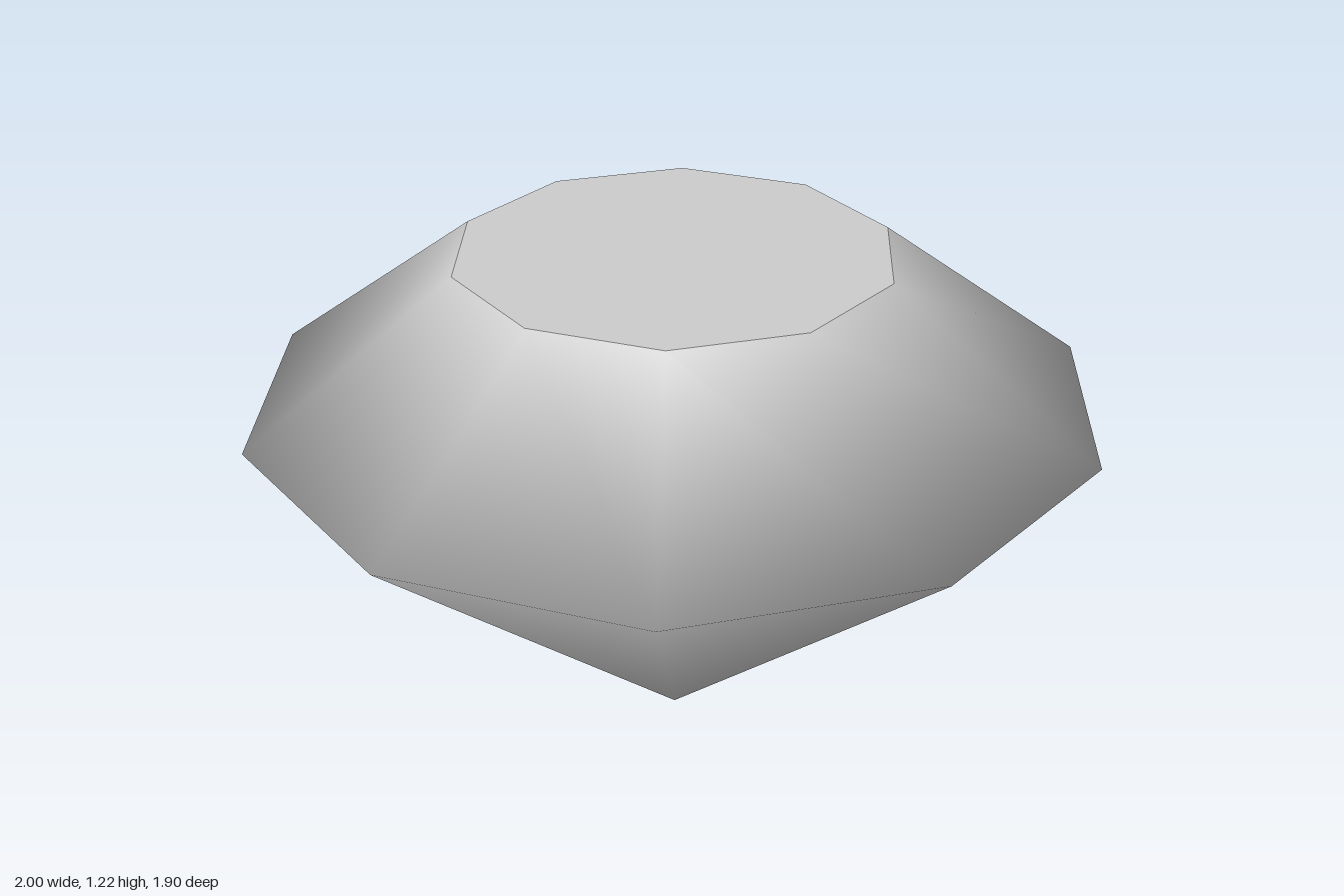
import * as THREE from 'three';

const SIDES = 10;
const GIRDLE_RADIUS = 1, GIRDLE_HEIGHT = 0.85;
const TABLE_RADIUS = 0.51, TABLE_HEIGHT = 1.22;

export function createModel() {
  const gem = new THREE.Group();
  gem.name = 'gem';
  const material = new THREE.MeshStandardMaterial({ color: 0xcccccc });

  // Pavilion and crown: one smooth-shaded ten-sided body, with a corner on the x axis
  const profile = [
    new THREE.Vector2(0, 0),
    new THREE.Vector2(GIRDLE_RADIUS, GIRDLE_HEIGHT),
    new THREE.Vector2(TABLE_RADIUS, TABLE_HEIGHT),
  ];
  const body = new THREE.Mesh(new THREE.LatheGeometry(profile, SIDES, Math.PI / 2), material);
  body.name = 'crownAndPavilion';

  // Flat table facet closing the top with a sharp edge
  const table = new THREE.Mesh(
    new THREE.CircleGeometry(TABLE_RADIUS, SIDES).rotateX(-Math.PI / 2),
    material
  );
  table.position.y = TABLE_HEIGHT;
  table.name = 'table';

  gem.add(body, table);
  return gem;
}
